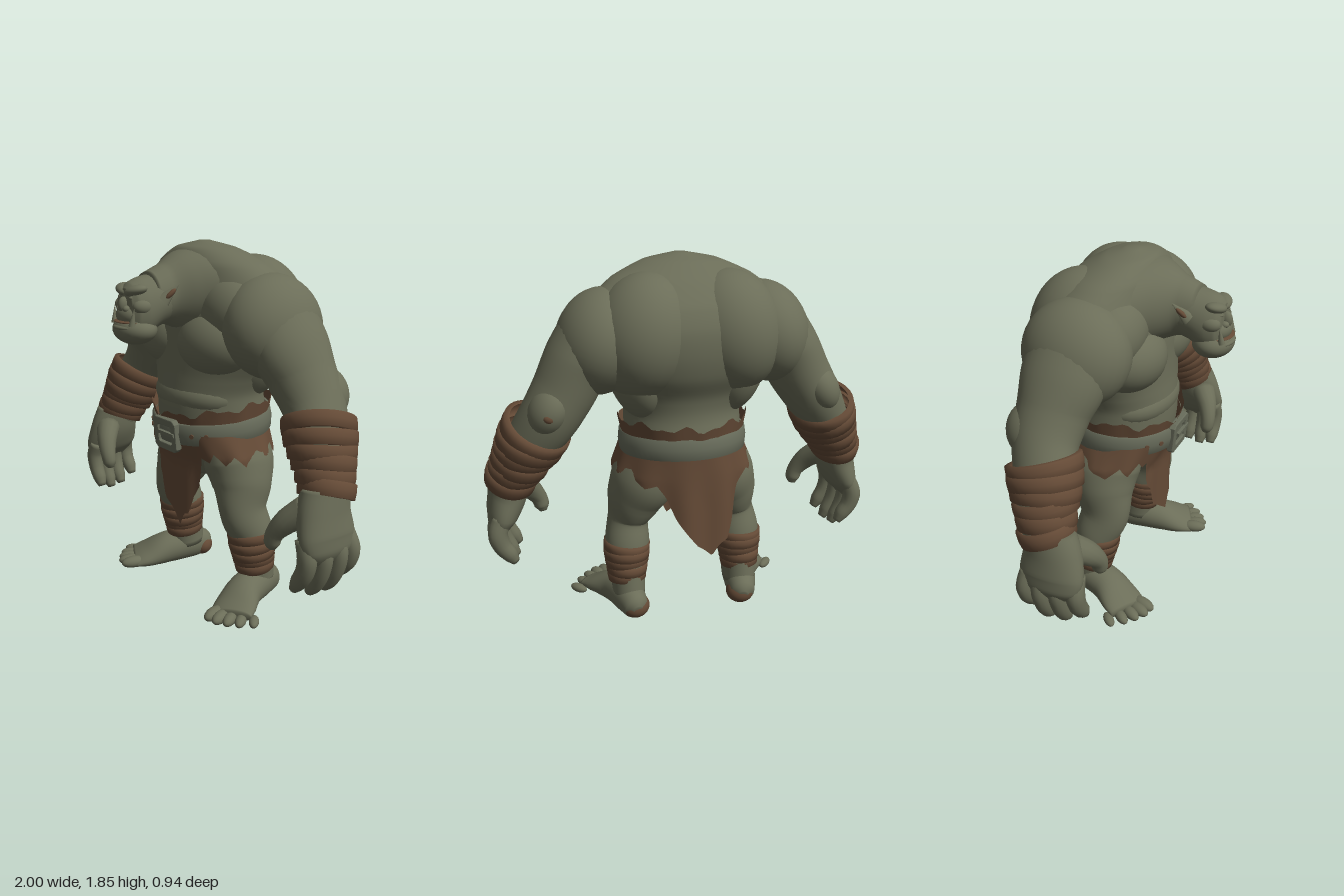
import * as THREE from 'three';

const mat = (name, color, side = THREE.FrontSide) => {
  const m = new THREE.MeshStandardMaterial({ color, side });
  m.name = name;
  return m;
};
const V = (x, y, z) => new THREE.Vector3(x, y, z);

// Closed smooth tube through sections [x, y, z, halfWidth, halfDepth]; never dips below the floor
function loft(sections, { axis = null, steps = 6, sides = 32 } = {}) {
  const path = new THREE.CatmullRomCurve3(sections.map(s => V(s[0], s[1], s[2])));
  const size = new THREE.CatmullRomCurve3(sections.map(s => V(s[3], s[4], 0)));
  const n = (sections.length - 1) * steps, pos = [], idx = [];
  for (let i = -1; i <= n + 1; i++) {
    const k = Math.min(Math.max(i / n, 0), 1), cap = i < 0 || i > n ? 0.001 : 1;
    const c = path.getPoint(k), r = size.getPoint(k);
    const t = axis || path.getTangent(k);
    const u = V(1, 0, 0).addScaledVector(t, -t.x).normalize();
    const v = t.clone().cross(u);
    for (let j = 0; j < sides; j++) {
      const a = j / sides * Math.PI * 2;
      const p = c.clone().addScaledVector(u, Math.cos(a) * r.x * cap).addScaledVector(v, Math.sin(a) * r.y * cap);
      pos.push(p.x, Math.max(p.y, 0), p.z);
    }
  }
  for (let i = 0; i < n + 2; i++) for (let j = 0; j < sides; j++) {
    const a = i * sides + j, b = i * sides + (j + 1) % sides;
    idx.push(a, b, a + sides, b, b + sides, a + sides);
  }
  const g = new THREE.BufferGeometry();
  g.setAttribute('position', new THREE.Float32BufferAttribute(pos, 3));
  g.setIndex(idx);
  g.computeVertexNormals();
  return g;
}

export function createModel() {
  const skin = mat('skin', 0x6b6d58);
  const cloth = mat('brown cloth', 0x644a36, THREE.DoubleSide);
  const leather = mat('belt leather', 0x676b5a);
  const model = new THREE.Group();
  model.name = 'ogre';

  const add = (name, geo, material = skin) => {
    const m = new THREE.Mesh(geo, material);
    m.name = name;
    model.add(m);
    return m;
  };
  const ball = (name, p, r, rot = [0, 0, 0], material = skin) => {
    const m = add(name, new THREE.SphereGeometry(1, 32, 20), material);
    m.position.set(...p);
    m.scale.set(...r);
    m.rotation.set(...rot);
    return m;
  };
  // Overlapping bandage bands from the upper point to the lower one, levelling out on the way down
  const wraps = (name, p0, p1, r0, r1, count) => {
    const dir = p1.clone().sub(p0), h = dir.length() / count * 0.66;
    const profile = [[0.86, -1], [0.98, -0.95], [1.01, 0], [1, 0.9], [0.86, 1]].map(([r, y]) => new THREE.Vector2(r, y));
    for (let i = 0; i < count; i++) {
      const k = (i + 0.5) / count, r = (r0 + (r1 - r0) * k) * (0.985 + ((i * 3) % 4) * 0.012);
      const up = V(-dir.x * (0.75 - 0.5 * k), -dir.y, -dir.z).normalize();
      const m = add(name, new THREE.LatheGeometry(profile, 32), cloth);
      m.position.copy(p0).addScaledVector(dir, k);
      m.scale.set(r, h, r * 1.07);
      const tilt = ((i * 7) % 5 - 2) * 0.045;
      m.quaternion.setFromUnitVectors(V(0, 1, 0), up)
        .multiply(new THREE.Quaternion().setFromEuler(new THREE.Euler(tilt, 0, -tilt)));
    }
  };

  // Torso, horizontal rings: [y, centre z, half width, half depth]
  add('torso', loft([[0.66, -0.1, 0.14, 0.12], [0.74, -0.1, 0.25, 0.18], [0.86, -0.1, 0.29, 0.25], [1.0, -0.1, 0.295, 0.27],
    [1.1, -0.09, 0.295, 0.26], [1.2, -0.1, 0.33, 0.26], [1.32, -0.13, 0.4, 0.285], [1.45, -0.145, 0.47, 0.295],
    [1.55, -0.15, 0.5, 0.285], [1.65, -0.14, 0.46, 0.255], [1.75, -0.1, 0.34, 0.2], [1.82, -0.06, 0.18, 0.12],
    [1.85, -0.05, 0.03, 0.03]].map(([y, z, a, b]) => [0, y, z, a, b]), { axis: V(0, 1, 0), sides: 48 }));
  ball('belly', [0, 1.09, -0.02], [0.275, 0.13, 0.197]);

  // Neck pushing forward from the shoulders
  add('neck', loft([[0, 1.58, -0.1, 0.38, 0.25], [0, 1.6, 0.02, 0.32, 0.22], [0, 1.61, 0.12, 0.21, 0.185],
    [0, 1.605, 0.21, 0.13, 0.145], [0, 1.59, 0.3, 0.11, 0.125]], { axis: V(0, 0, 1) }));

  // Head
  add('head', loft([[0, 1.6, 0.1, 0.1, 0.11], [0, 1.595, 0.19, 0.118, 0.125], [0, 1.578, 0.27, 0.122, 0.13], [0, 1.545, 0.35, 0.117, 0.148],
    [0, 1.535, 0.4, 0.1, 0.138], [0, 1.53, 0.425, 0.07, 0.115]], { axis: V(0, 0, 1) }));
  ball('jaw', [0, 1.452, 0.37], [0.122, 0.074, 0.1]);
  ball('muzzle', [0, 1.52, 0.395], [0.085, 0.055, 0.06]);
  ball('mouth', [0, 1.492, 0.395], [0.09, 0.01, 0.073], [0, 0, 0], cloth);
  ball('lowerLip', [0, 1.466, 0.405], [0.092, 0.022, 0.068]);
  ball('nose', [0, 1.57, 0.428], [0.024, 0.04, 0.03]);
  for (const s of [-1, 1]) {
    ball('brow', [s * 0.045, 1.637, 0.39], [0.06, 0.026, 0.045], [0, s * 0.35, s * 0.25]);
    ball('eye', [s * 0.046, 1.605, 0.41], [0.018, 0.011, 0.018]);
    ball('nostril', [s * 0.026, 1.553, 0.428], [0.02, 0.017, 0.022]);
    ball('cheek', [s * 0.075, 1.565, 0.37], [0.042, 0.04, 0.055]);
    const tusk = add('tusk', new THREE.ConeGeometry(0.017, 0.085, 10));
    tusk.position.set(s * 0.08, 1.52, 0.43);
    tusk.rotation.set(-0.1, 0, s * -0.12);
    const ear = add('ear', new THREE.ConeGeometry(0.035, 0.115, 14));
    ear.position.set(s * 0.134, 1.63, 0.25);
    ear.scale.z = 0.55;
    ear.rotation.set(-0.35, s * 0.8, s * -0.5);
    ball('innerEar', [s * 0.14, 1.622, 0.258], [0.012, 0.034, 0.014], [-0.35, s * 0.8, s * -0.5], cloth);
  }

  for (const s of [-1, 1]) {
    const mx = list => list.map(([x, ...rest]) => [s * x, ...rest]);

    // Chest, shoulder and back muscles
    ball('chestMuscle', [s * 0.175, 1.375, 0.0], [0.22, 0.175, 0.185], [0, s * 0.15, s * 0.12]);
    ball('upperChest', [s * 0.25, 1.53, -0.04], [0.24, 0.18, 0.165], [0, 0, s * -0.3]);
    ball('shoulder', [s * 0.41, 1.465, -0.14], [0.21, 0.255, 0.265], [0, 0, s * 0.3]);
    ball('upperBack', [s * 0.21, 1.49, -0.2], [0.25, 0.3, 0.268], [0, s * -0.15, s * 0.2]);
    ball('sideBack', [s * 0.25, 1.33, -0.18], [0.14, 0.25, 0.185], [0, 0, s * -0.2]);

    // Arm
    add('arm', loft(mx([[0.42, 1.52, -0.14, 0.17, 0.21], [0.52, 1.38, -0.15, 0.16, 0.205], [0.59, 1.25, -0.17, 0.152, 0.175],
      [0.665, 1.13, -0.175, 0.142, 0.16], [0.75, 1.0, -0.14, 0.125, 0.145], [0.85, 0.83, -0.09, 0.1, 0.12],
      [0.875, 0.74, -0.05, 0.09, 0.12]])));
    ball('elbow', [s * 0.675, 1.18, -0.245], [0.095, 0.13, 0.118], [-0.2, 0, s * 0.5]);
    wraps('forearmWrap', V(s * 0.722, 1.07, -0.15), V(s * 0.876, 0.77, -0.07), 0.177, 0.122, 6);

    // Hand with four curled fingers and a thumb
    add('palm', loft(mx([[0.872, 0.8, -0.06, 0.1, 0.125], [0.885, 0.7, -0.04, 0.098, 0.145], [0.915, 0.6, -0.035, 0.083, 0.16],
      [0.935, 0.54, -0.035, 0.06, 0.145], [0.94, 0.49, -0.035, 0.025, 0.1]])));
    for (let i = 0; i < 4; i++) {
      const z = 0.085 - i * 0.08, d = [0.03, 0, 0.005, 0.05][i], x = [-0.035, -0.015, 0, 0][i];
      add('finger', loft(mx([[0.925 + x, 0.6, z * 0.9, 0.046, 0.046], [0.952 + x, 0.52, z, 0.048, 0.045],
        [0.938 + x, 0.43 + d / 2, z, 0.045, 0.043], [0.903 + x, 0.355 + d, z, 0.04, 0.039],
        [0.875 + x, 0.31 + d, z, 0.022, 0.024]]), { sides: 14, steps: 4 }));
    }
    add('thumb', loft(mx([[0.85, 0.72, 0.02, 0.075, 0.07], [0.775, 0.65, 0.08, 0.06, 0.055], [0.725, 0.58, 0.105, 0.044, 0.044],
      [0.71, 0.53, 0.105, 0.039, 0.039], [0.705, 0.5, 0.1, 0.02, 0.02]]), { sides: 14, steps: 4 }));

    // Leg
    add('leg', loft(mx([[0.165, 0.87, -0.11, 0.14, 0.18], [0.205, 0.74, -0.12, 0.165, 0.19], [0.25, 0.63, -0.105, 0.145, 0.16],
      [0.285, 0.5, -0.085, 0.105, 0.13], [0.3, 0.38, -0.125, 0.115, 0.115], [0.305, 0.25, -0.15, 0.09, 0.1],
      [0.305, 0.1, -0.17, 0.085, 0.1]])));
    wraps('ankleWrap', V(s * 0.303, 0.385, -0.125), V(s * 0.31, 0.185, -0.15), 0.124, 0.1, 5);

    // Foot turned outward
    add('foot', loft(mx([[0.285, 0.06, -0.31, 0.025, 0.03], [0.29, 0.07, -0.28, 0.065, 0.07], [0.31, 0.085, -0.18, 0.085, 0.095],
      [0.345, 0.075, -0.05, 0.095, 0.09], [0.4, 0.045, 0.06, 0.115, 0.055], [0.435, 0.03, 0.12, 0.11, 0.032]])));
    ball('heelPatch', [s * 0.286, 0.064, -0.252], [0.074, 0.063, 0.066], [0, s * 0.3, 0], cloth);
    for (let i = 0; i < 5; i++) {
      const r = 0.042 - i * 0.003;
      ball('toe', [s * (0.37 + i * 0.043), r * 0.78, [0.17, 0.165, 0.14, 0.105, 0.055][i]],
        [r * 0.85, r * 0.78, r * 1.7], [0, s * (0.25 + i * 0.13), 0]);
    }
  }

  // Small brown patch on the left elbow only
  ball('elbowPatch', [0.685, 1.17, -0.343], [0.03, 0.024, 0.022], [0, 0, 0.4], cloth);

  // Ragged skirt with long front and back flaps: hem heights by angle, 0 = front
  const hem = [[0, 0.41], [4, 0.39], [9, 0.46], [14, 0.47], [20, 0.57], [26, 0.63], [31, 0.8], [40, 0.78], [48, 0.83],
    [58, 0.77], [70, 0.82], [82, 0.76], [95, 0.81], [110, 0.76], [125, 0.8], [138, 0.76], [148, 0.78], [155, 0.72],
    [163, 0.61], [172, 0.53], [180, 0.46], [188, 0.42], [193, 0.39], [199, 0.45], [206, 0.47], [213, 0.57], [219, 0.73],
    [224, 0.76], [232, 0.8], [248, 0.75], [262, 0.81], [278, 0.76], [292, 0.82], [304, 0.77], [314, 0.83], [322, 0.79],
    [327, 0.81], [331, 0.66], [336, 0.62], [341, 0.5], [352, 0.45], [360, 0.41]];
  const skirt = new THREE.CylinderGeometry(1, 1, 1, 180, 10, true);
  const sp = skirt.attributes.position;
  for (let i = 0; i < sp.count; i++) {
    const a = Math.atan2(sp.getX(i), sp.getZ(i)), deg = (a * 180 / Math.PI + 360) % 360;
    const k = Math.max(1, hem.findIndex(h => h[0] >= deg)), [d0, y0] = hem[k - 1], [d1, y1] = hem[k];
    const low = y0 + (y1 - y0) * (deg - d0) / (d1 - d0);
    const y = low + (0.92 - low) * (sp.getY(i) + 0.5), drop = 0.92 - y;
    const fold = 1 + 0.12 * Math.min(drop, 0.25) * Math.sin(a * 11);
    const c = Math.cos(a), z = c > 0 ? Math.pow(c, 0.7) * (0.29 - 0.4 * Math.min(drop, 0.17)) : c * (0.29 + 0.05 * drop);
    sp.setXYZ(i, Math.sin(a) * (0.31 + 0.4 * Math.min(drop, 0.12)) * fold, y, -0.1 + z * fold);
  }
  skirt.computeVertexNormals();
  add('skirt', skirt, cloth);

  // Torn cloth edge showing above the belt
  const rim = new THREE.CylinderGeometry(1, 1, 1, 72, 3, true);
  const rp = rim.attributes.position;
  for (let i = 0; i < rp.count; i++) {
    const x = rp.getX(i), z = rp.getZ(i), a = Math.atan2(x, z), k = rp.getY(i) + 0.5;
    const top = 1.035 - 0.03 * z + 0.03 * Math.abs(x) + 0.014 * Math.sin(a * 9) + 0.01 * Math.sin(a * 17 + 1);
    rp.setXYZ(i, x * (0.3 + 0.025 * k), 0.93 + (top - 0.93) * k, -0.1 + z * (0.28 + 0.025 * k));
  }
  rim.computeVertexNormals();
  add('clothRim', rim, cloth);

  // Belt, tilted down at the front
  const belt = new THREE.Group();
  belt.name = 'belt';
  belt.position.set(0, 0.94, -0.1);
  belt.rotation.x = 0.1;
  model.add(belt);
  const onBelt = (name, geo, material, x = 0, y = 0, z = 0) => {
    const m = new THREE.Mesh(geo, material);
    m.name = name;
    m.position.set(x, y, z);
    belt.add(m);
    return m;
  };
  const strap = [[0.94, -0.055], [0.99, -0.052], [1.01, 0], [0.99, 0.052], [0.94, 0.055]].map(p => new THREE.Vector2(...p));
  onBelt('beltStrap', new THREE.LatheGeometry(strap, 64), leather).scale.set(0.322, 1, 0.305);
  for (const x of [-0.22, -0.15, 0.17, 0.23]) {
    const hole = onBelt('beltHole', new THREE.CylinderGeometry(0.012, 0.012, 0.008, 14), cloth,
      x, 0, 0.308 * Math.sqrt(1 - (x / 0.325) ** 2));
    hole.rotation.set(Math.PI / 2, 0, -Math.asin(x / 0.325) * 0.9);
  }

  // Buckle frame and prong
  const box = (P, w, h) => new P([[-w, -h * 0.8], [-w * 0.8, -h], [w * 0.8, -h], [w, -h * 0.8], [w, h * 0.8],
    [w * 0.8, h], [-w * 0.8, h], [-w, h * 0.8]].map(p => new THREE.Vector2(...p)));
  const frame = box(THREE.Shape, 0.088, 0.08);
  frame.holes.push(box(THREE.Path, 0.06, 0.052));
  onBelt('buckleFrame', new THREE.ExtrudeGeometry(frame, { depth: 0.025, bevelSize: 0.005, bevelThickness: 0.005, bevelSegments: 2 }),
    leather, 0.01, -0.01, 0.285);
  onBelt('buckleProng', new THREE.BoxGeometry(0.13, 0.018, 0.016), leather, 0.03, 0, 0.315);
  return model;
}
